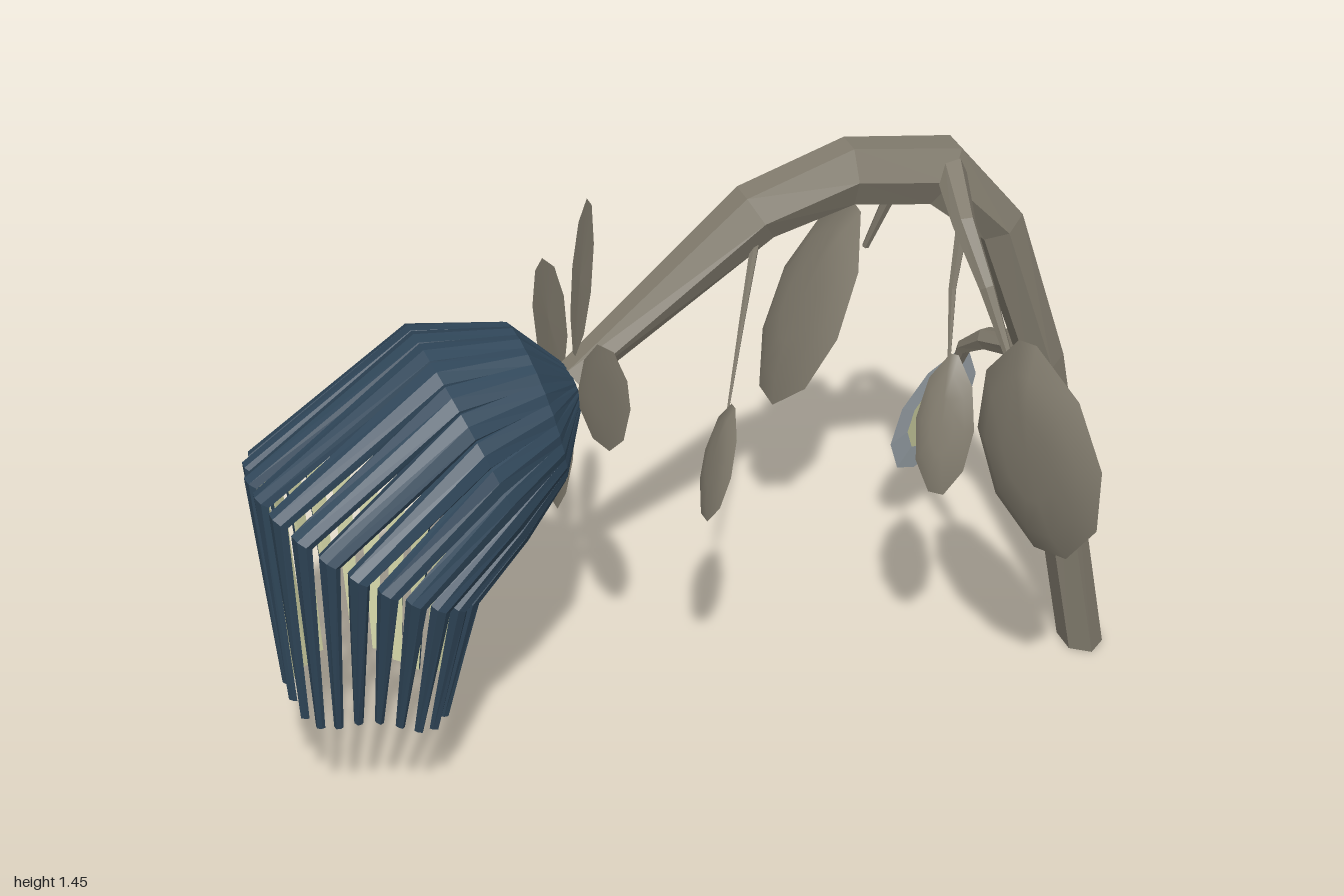
import * as THREE from 'three';

const V = (x, y, z) => new THREE.Vector3(x, y, z);
const mat = (color, flatShading = true) =>
  new THREE.MeshStandardMaterial({ color, flatShading, side: THREE.DoubleSide });
const bark = mat(0x827c6e), leafBack = mat(0x827c6e, false);
const rimMat = mat(0x9aa3a9), pale = mat(0xc6c89c), blue = mat(0x30475a);

function add(parent, name, geometry, material) {
  const mesh = new THREE.Mesh(geometry, material);
  mesh.name = name;
  parent.add(mesh);
  return mesh;
}

// Skin a list of equal-length cross-sections
function loft(rings, closed) {
  const n = rings[0].length, index = [];
  const pos = rings.flat().flatMap((p) => [p.x, p.y, p.z]);
  for (let i = 0; i < rings.length - 1; i++) {
    for (let j = 0; j < (closed ? n : n - 1); j++) {
      const a = i * n + j, b = i * n + ((j + 1) % n);
      index.push(a, b, a + n, b, b + n, a + n);
    }
  }
  const g = new THREE.BufferGeometry();
  g.setAttribute('position', new THREE.Float32BufferAttribute(pos, 3));
  g.setIndex(index);
  g.computeVertexNormals();
  return g;
}

// Capped, tapering six-sided limb; radii are [across, along ref]
function limb(points, radii, ref) {
  const last = points.length - 1;
  const rings = points.map((p, i) => {
    const t = points[Math.min(i + 1, last)].clone().sub(points[Math.max(i - 1, 0)]).normalize();
    const across = ref.clone().cross(t).normalize();
    const along = t.clone().cross(across);
    return Array.from({ length: 6 }, (_, k) => {
      const a = (k * Math.PI) / 3;
      const q = p.clone().addScaledVector(along, Math.cos(a) * radii[i][1])
        .addScaledVector(across, Math.sin(a) * radii[i][0]);
      q.y = Math.max(0, q.y);
      return q;
    });
  });
  const cap = (p) => Array.from({ length: 6 }, () => V(p.x, Math.max(0, p.y), p.z));
  return loft([cap(points[0]), ...rings, cap(points[last])], true);
}

// Half outline of a leaf: [position along, half width]
const half = [[0, 0.07], [0.2, 0.37], [0.5, 0.5], [0.8, 0.41], [1, 0.13]];
const outline = [...half, ...half.slice().reverse().map(([t, w]) => [t, -w])];

// Leaf from base to tip with a domed back; optional light rim and pale centre
function leaf(name, base, tip, side, width, bulge, lined) {
  const g = new THREE.Group();
  g.name = name;
  const axis = tip.clone().sub(base);
  const u = axis.clone().normalize();
  const face = side.clone().cross(u).normalize();
  const v = u.clone().cross(face);
  const ring = (s, lift) => outline.map(([t, w]) =>
    base.clone().addScaledVector(axis, 0.5 + (t - 0.5) * s)
      .addScaledVector(v, w * width * s).addScaledVector(face, lift));
  add(g, 'leafBack', loft([ring(1, 0), ring(0.75, -bulge * 0.7), ring(0.4, -bulge), ring(0, -bulge)], true), leafBack);
  if (lined) {
    add(g, 'leafRim', loft([ring(1, 0), ring(0.62, 0.003)], true), rimMat);
    add(g, 'leafCentre', loft([ring(0.62, 0.003), ring(0, 0.003)], true), pale);
  } else {
    add(g, 'leafFront', loft([ring(1, 0), ring(0, 0.004)], true), leafBack);
  }
  return g;
}

export function createModel() {
  const root = new THREE.Group();
  root.name = 'droopingFlower';
  const zc = -0.025;

  // Arching main stem
  const path = [[0.957, -0.02], [0.81, 0.82], [0.69, 1.19], [0.55, 1.345], [0.34, 1.388], [0.13, 1.335], [-0.28, 1.03]];
  add(root, 'stem', limb(path.map(([x, y]) => V(x, y, zc)),
    [[0.05, 0.065], [0.05, 0.062], [0.057, 0.06], [0.08, 0.06], [0.077, 0.056], [0.07, 0.056], [0.035, 0.038]],
    V(0, 0, 1)), bark);

  // Side branches
  const branches = [
    [[0.56, 1.36, 0], [0.53, 1.31, 0.14], [0.54, 1.21, 0.24], [0.565, 1.07, 0.31], 0.035],
    [[0.53, 1.29, 0.13], [0.5, 1.17, 0.16], [0.475, 1.03, 0.21], 0.014],
    [[0.59, 1.34, -0.05], [0.59, 1.29, -0.19], [0.58, 1.18, -0.29], [0.535, 0.97, -0.36], 0.033],
    [[0.82, 0.82, -0.05], [0.77, 0.76, -0.21], [0.75, 0.7, -0.28], [0.75, 0.58, -0.34], 0.035],
    [[0.12, 1.28, 0.0], [0.07, 1.12, 0.05], [0.015, 0.95, 0.11], 0.01],
  ];
  for (const b of branches) {
    const r = b[b.length - 1], pts = b.slice(0, -1).map((p) => V(...p));
    const radii = pts.map((_, i) => {
      const s = r * (1 - (0.75 * i) / (pts.length - 1));
      return [s, s];
    });
    add(root, 'branch', limb(pts, radii, V(1, 0, 0)), bark);
  }

  // Hanging leaves: base, tip, widthwise direction, width, dome depth
  const leaves = [
    ['frontLargeLeaf', V(0.57, 1.15, 0.38), V(0.635, 0.62, 0.41), V(0.45, 0, 0.9), 0.33, 0.04],
    ['frontSmallLeaf', V(0.48, 1.05, 0.225), V(0.42, 0.75, 0.285), V(0.6, 0, 0.6), 0.13, 0.02],
    ['backLargeLeaf', V(0.53, 1.05, -0.4), V(0.345, 0.55, -0.47), V(0.12, 0, 1), 0.27, 0.03],
    ['backLowLeaf', V(0.78, 0.65, -0.34), V(0.69, 0.28, -0.44), V(-1, 0.2, 0), 0.17, 0.03],
    ['farSmallLeaf', V(0.02, 0.975, 0.13), V(-0.05, 0.715, 0.14), V(0, 0, 1), 0.135, 0.015],
  ];
  for (const l of leaves) root.add(leaf(...l, true));

  // Four thin sepals behind the flower
  root.add(leaf('upperSepal', V(-0.275, 1.08, zc), V(-0.235, 1.44, zc), V(0, 0, 1), 0.11, 0.004));
  root.add(leaf('lowerSepal', V(-0.28, 1.0, zc), V(-0.325, 0.71, zc), V(0, 0, 1), 0.11, 0.004));
  for (const s of [-1, 1]) {
    root.add(leaf('sideSepal', V(-0.285, 1.0, zc + s * 0.05), V(-0.255, 1.14, zc + s * 0.27),
      V(0.1, 0.85, -s * 0.53), 0.22, 0.006));
  }

  // Flower: each ring is [top x, top y, bottom x, bottom y, z radius, petal width]
  const rings = [
    [-0.29, 1.05, -0.27, 0.96, 0.045, 0.03],
    [-0.4, 1.16, -0.33, 0.81, 0.17, 0.062],
    [-0.61, 1.19, -0.42, 0.7, 0.245, 0.074],
    [-0.985, 0.925, -0.515, 0.6, 0.285, 0.052],
    [-0.94, 0.4, -0.58, 0.325, 0.165, 0.02],
  ];
  const flower = new THREE.Group();
  flower.name = 'flower';
  root.add(flower);
  const count = 24;
  for (let k = 0; k < count; k++) {
    const a = ((k + 0.5) / count) * Math.PI * 2, c = Math.cos(a), s = Math.sin(a);
    const outer = [], inner = [];
    rings.forEach(([tx, ty, bx, by, rz, w], i) => {
      const up = V((tx - bx) / 2, (ty - by) / 2, 0), len = up.length();
      const p = V((tx + bx) / 2, (ty + by) / 2, zc).addScaledVector(up, c).add(V(0, 0, s * rz));
      if (i === 4) p.y += 0.025 * Math.sin(k * 5.3) - 0.02;
      const across = up.clone().multiplyScalar(-s).add(V(0, 0, c * rz)).normalize();
      const out = up.clone().multiplyScalar(c / len).add(V(0, 0, s));
      const at = (x, d) => p.clone().addScaledVector(across, x * w).addScaledVector(out, d);
      const d = i === 4 ? -0.012 : -0.022;
      outer.push([at(-0.5, d), at(-0.4, -0.004), at(0, 0.003), at(0.4, -0.004), at(0.5, d)]);
      inner.push([at(-0.5, d), at(0.5, d)]);
    });
    const tip = outer[4];
    outer.push(tip.map(() => tip[2].clone().add(tip[0]).multiplyScalar(0.5)));
    add(flower, 'petal', loft(outer, false), blue);
    add(flower, 'petalLining', loft(inner, false), pale);
  }
  return root;
}
